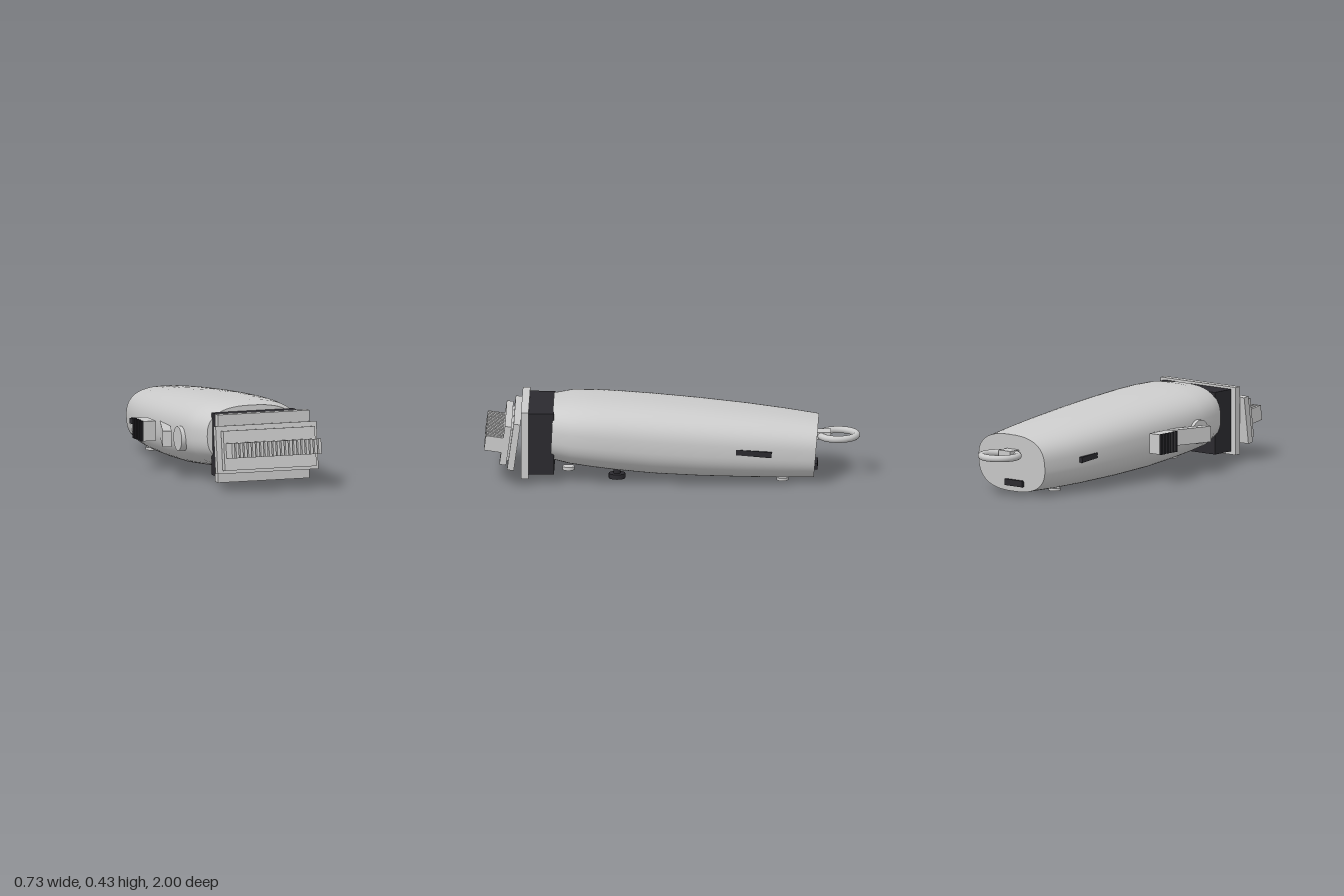
import * as THREE from 'three';

const CX = 0.06; // centre line of the housing
const grey = new THREE.MeshStandardMaterial({ color: 0xcccccc });
const dark = new THREE.MeshStandardMaterial({ color: 0x2b2a2f });

function add(parent, name, geometry, x, y, z, material = grey) {
  const mesh = new THREE.Mesh(geometry, material);
  mesh.name = name;
  mesh.position.set(x, y, z);
  parent.add(mesh);
  return mesh;
}
const box = (w, h, d) => new THREE.BoxGeometry(w, h, d);
const disc = (r, h) => new THREE.CylinderGeometry(r, r, h, 32);

// Housing: superellipse sections lofted from the back to the front, with flat end caps
function housingGeometry() {
  // [z at top, z at bottom, x min, x max, y min, y max]
  const sections = [
    [-0.78, -0.755, -0.152, 0.305, 0.010, 0.320],
    [-0.60, -0.59, -0.190, 0.325, 0.009, 0.343],
    [-0.40, -0.40, -0.219, 0.342, 0.011, 0.366],
    [-0.15, -0.15, -0.240, 0.355, 0.017, 0.391],
    [0.10, 0.10, -0.252, 0.362, 0.029, 0.412],
    [0.30, 0.30, -0.256, 0.364, 0.048, 0.425],
    [0.42, 0.42, -0.254, 0.360, 0.062, 0.430],
    [0.53, 0.54, -0.247, 0.351, 0.079, 0.430],
    [0.63, 0.645, -0.200, 0.315, 0.102, 0.417],
  ];
  const N = 64, power = 2 / 2.6;
  const bend = (v) => Math.sign(v) * Math.abs(v) ** power;
  const pos = [], index = [];
  const ring = ([zt, zb, x0, x1, y0, y1]) => {
    for (let i = 0; i < N; i++) {
      const a = (i / N) * Math.PI * 2;
      const u = bend(Math.cos(a)), v = bend(Math.sin(a));
      pos.push((x0 + x1) / 2 + u * (x1 - x0) / 2,
        (y0 + y1) / 2 + v * (y1 - y0) / 2,
        (zt + zb) / 2 + v * (zt - zb) / 2);
    }
  };
  sections.forEach(ring);
  for (let s = 0; s < sections.length - 1; s++) {
    for (let i = 0; i < N; i++) {
      const a = s * N + i, b = s * N + (i + 1) % N;
      index.push(a, b, b + N, a, b + N, a + N);
    }
  }
  // Caps own their vertices so the rims stay sharp
  [sections[0], sections[sections.length - 1]].forEach((sec, end) => {
    const start = pos.length / 3;
    ring(sec);
    for (let i = 1; i < N - 1; i++) {
      if (end) index.push(start, start + i, start + i + 1);
      else index.push(start, start + i + 1, start + i);
    }
  });
  const g = new THREE.BufferGeometry();
  g.setAttribute('position', new THREE.Float32BufferAttribute(pos, 3));
  g.setIndex(index);
  g.computeVertexNormals();
  return g;
}

export function createModel() {
  const model = new THREE.Group();
  model.name = 'hairClipper';

  add(model, 'housing', housingGeometry(), 0, 0, 0);

  // Neck and blade mount
  add(model, 'neck', box(0.46, 0.335, 0.135), CX, 0.22, 0.6925, dark);
  add(model, 'mountPlate', box(0.518, 0.365, 0.04), CX, 0.2175, 0.78);

  // Tilted blade set with comb teeth
  const blades = new THREE.Group();
  blades.name = 'bladeSet';
  blades.position.set(CX, 0.217, 0.838);
  blades.rotation.x = -0.14;
  model.add(blades);
  add(blades, 'fixedBlade', box(0.57, 0.255, 0.036), 0, 0, 0);
  add(blades, 'bladeSpacer', box(0.48, 0.17, 0.014), 0, -0.005, 0.024);
  add(blades, 'movingBlade', box(0.518, 0.212, 0.036), 0, -0.005, 0.044);
  const teeth = new THREE.Group();
  teeth.name = 'teeth';
  blades.add(teeth);
  for (let i = 0; i < 22; i++) {
    add(teeth, 'tooth', box(0.016, 0.081, 0.095), -0.239 + i * 0.0233, -0.005, 0.107);
  }

  // Taper lever on the side
  const lever = new THREE.Group();
  lever.name = 'taperLever';
  model.add(lever);
  const pivot = add(lever, 'leverPivot', disc(0.065, 0.04), -0.255, 0.218, 0.38);
  pivot.rotation.z = Math.PI / 2;
  const arm = add(lever, 'leverArm', box(0.048, 0.085, 0.42), -0.27, 0.2175, 0.178);
  arm.rotation.y = -0.305;
  add(lever, 'leverKnob', box(0.07, 0.107, 0.145), -0.325, 0.2175, 0.008);
  for (let i = 0; i < 6; i++) {
    add(lever, 'knobRidge', box(0.012, 0.11, 0.012), -0.364, 0.2175, -0.054 + i * 0.0248, dark);
  }

  // Side grips
  for (const [x, yaw] of [[0.328, 0.07], [-0.2, -0.07]]) {
    const grip = add(model, 'sideGrip', box(0.036, 0.03, 0.19), x, 0.188, -0.44, dark);
    grip.rotation.set(-0.08, 0, 0);
  }

  // Hanging ring, its bracket and the slot in the back cap
  const ring = add(model, 'hangingRing', new THREE.TorusGeometry(0.098, 0.0185, 16, 48), CX + 0.003, 0.22, -0.8835);
  ring.rotation.x = Math.PI / 2;
  add(model, 'ringBracket', box(0.08, 0.04, 0.085), CX + 0.003, 0.222, -0.8025);
  add(model, 'backSlot', box(0.12, 0.034, 0.024), CX, 0.058, -0.762, dark);

  // Underside: switch bar, adjusting screw, stud and rear feet
  const bar = add(model, 'switchBar', box(0.04, 0.02, 0.36), CX, 0.023, -0.08, dark);
  bar.rotation.x = 0;
  add(model, 'adjustingScrew', disc(0.044, 0.026), 0.155, 0.014, 0.292, dark);
  add(model, 'screwStem', disc(0.018, 0.03), 0.155, 0.035, 0.292, dark);
  add(model, 'frontStud', disc(0.033, 0.018), 0.066, 0.03, 0.552);
  for (const x of [-0.073, 0.207]) add(model, 'rearFoot', disc(0.032, 0.014), x, 0.017, -0.59);

  return model;
}
